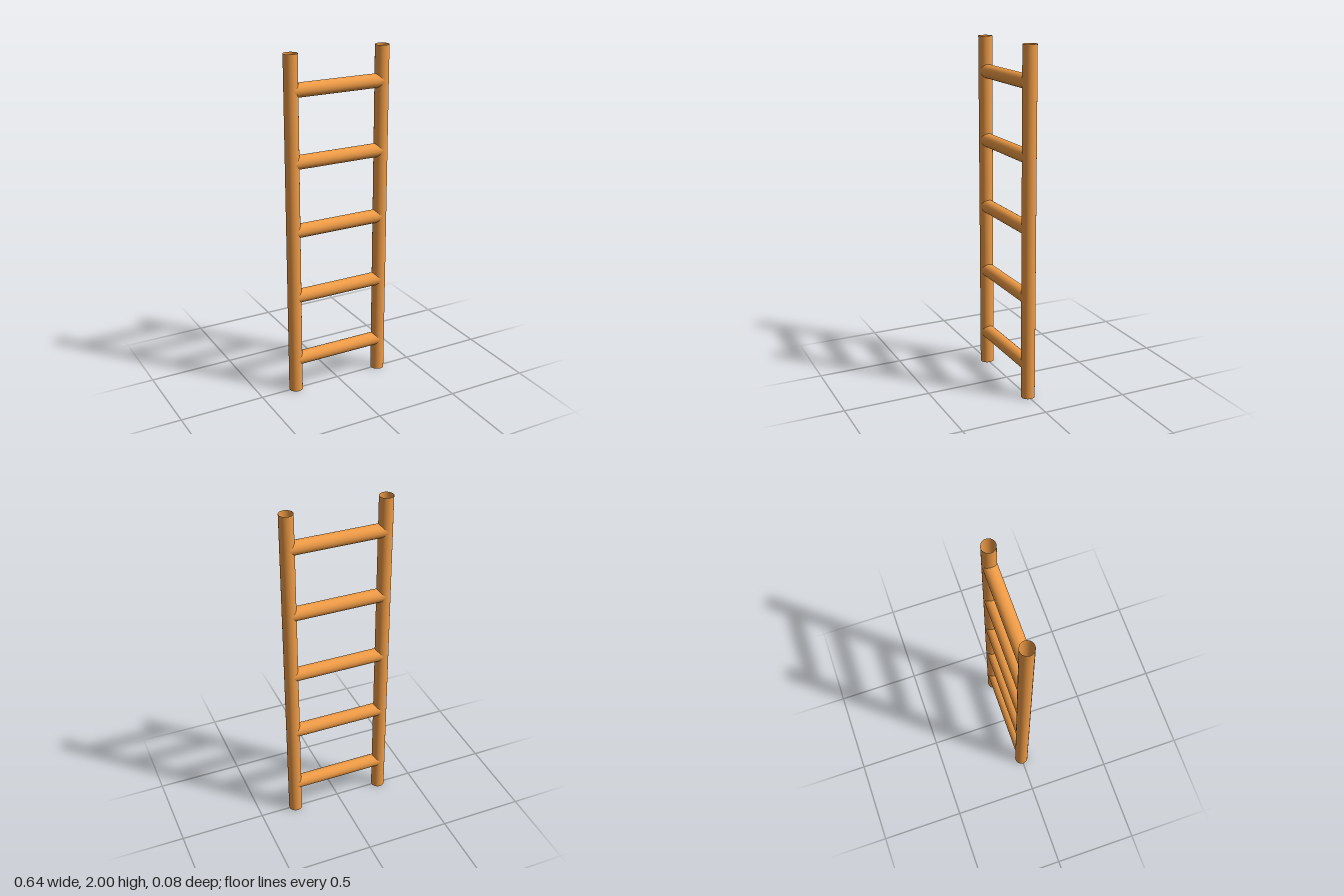
import * as THREE from 'three';

const RADIUS = 0.04;
const RAIL_X = 0.28;
const HEIGHT = 2;
const RUNG_HEIGHTS = [0.2, 0.6, 1.0, 1.4, 1.8];

// Open tube along x whose ends are coped to sit against the round rails
function rungGeometry() {
  const geometry = new THREE.CylinderGeometry(RADIUS, RADIUS, 2 * RAIL_X, 32, 1, true);
  geometry.rotateZ(Math.PI / 2);
  const pos = geometry.attributes.position;
  for (let i = 0; i < pos.count; i++) {
    const z = pos.getZ(i);
    const cut = Math.sqrt(Math.max(0, RADIUS * RADIUS - z * z));
    pos.setX(i, Math.sign(pos.getX(i)) * (RAIL_X - cut));
  }
  return geometry;
}

export function createModel() {
  const ladder = new THREE.Group();
  ladder.name = 'ladder';
  const wood = new THREE.MeshStandardMaterial({ color: 0xf09c46, side: THREE.DoubleSide });

  // Side rails: hollow tubes, open at both ends
  const railShape = new THREE.CylinderGeometry(RADIUS, RADIUS, HEIGHT, 32, 1, true);
  for (const side of [1, -1]) {
    const rail = new THREE.Mesh(railShape, wood);
    rail.name = side > 0 ? 'leftRail' : 'rightRail';
    rail.position.set(side * RAIL_X, HEIGHT / 2, 0);
    ladder.add(rail);
  }

  // Evenly spaced rungs
  const rungShape = rungGeometry();
  RUNG_HEIGHTS.forEach((y, i) => {
    const rung = new THREE.Mesh(rungShape, wood);
    rung.name = `rung${i + 1}`;
    rung.position.y = y;
    ladder.add(rung);
  });

  return ladder;
}
